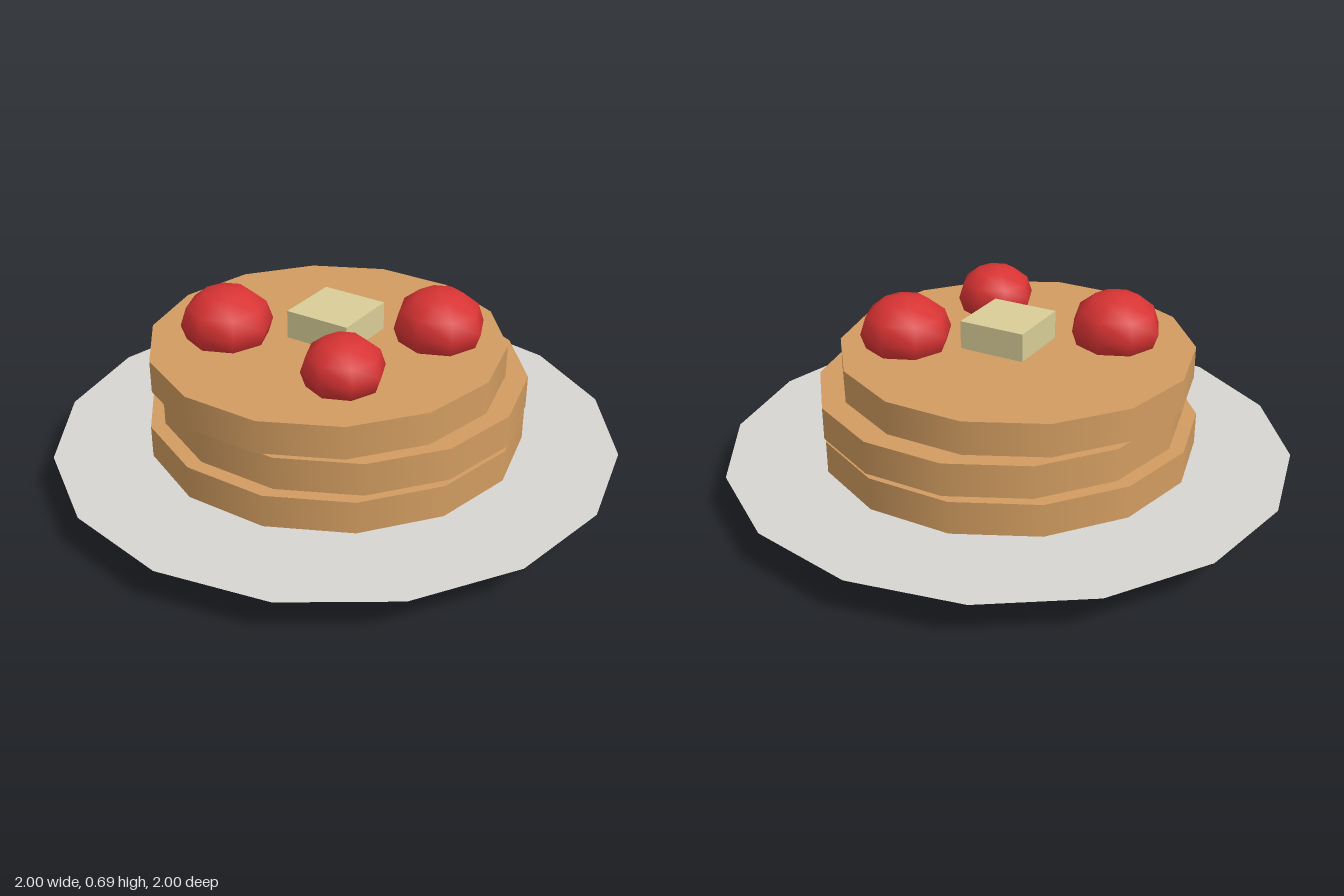
import * as THREE from 'three';

const material = (name, color) => {
  const m = new THREE.MeshStandardMaterial({ color });
  m.name = name;
  return m;
};

export function createModel() {
  const model = new THREE.Group();
  model.name = 'pancakeStack';
  const plateGrey = material('plateGrey', 0xd6d5d1);
  const pancakeBrown = material('pancakeBrown', 0xd19c60);
  const butterYellow = material('butterYellow', 0xd8cd97);
  const berryRed = material('berryRed', 0xd83333);

  const add = (name, geometry, mat, x, y, z) => {
    const mesh = new THREE.Mesh(geometry, mat);
    mesh.name = name;
    mesh.position.set(x, y, z);
    model.add(mesh);
    return mesh;
  };

  // Flared plate
  add('plate', new THREE.CylinderGeometry(1, 0.81, 0.135, 16), plateGrey, 0, 0.0675, 0);

  // Three slightly offset pancakes, bottom to top: radius, x, y, z
  [
    [0.665, 0, 0.203, 0],
    [0.642, 0.022, 0.328, -0.016],
    [0.62, -0.02, 0.453, 0.025],
  ].forEach(([r, x, y, z], i) => {
    const disc = new THREE.CylinderGeometry(r, r, 0.115, 14).rotateY(Math.PI / 2);
    add(`pancake${i + 1}`, disc, pancakeBrown, x, y, z);
  });

  // Butter pat
  add('butter', new THREE.BoxGeometry(0.24, 0.1, 0.24), butterYellow, 0, 0.566, 0);

  // Squashed berries sunk into the top pancake: radius, x, z
  [
    [0.16, 0.31, -0.17],
    [0.16, -0.31, 0.21],
    [0.14, 0.21, 0.28],
  ].forEach(([r, x, z], i) => {
    const berry = new THREE.SphereGeometry(r, 8, 6);
    add(`berry${i + 1}`, berry, berryRed, x, 0.563, z).scale.y = 0.8;
  });

  return model;
}
